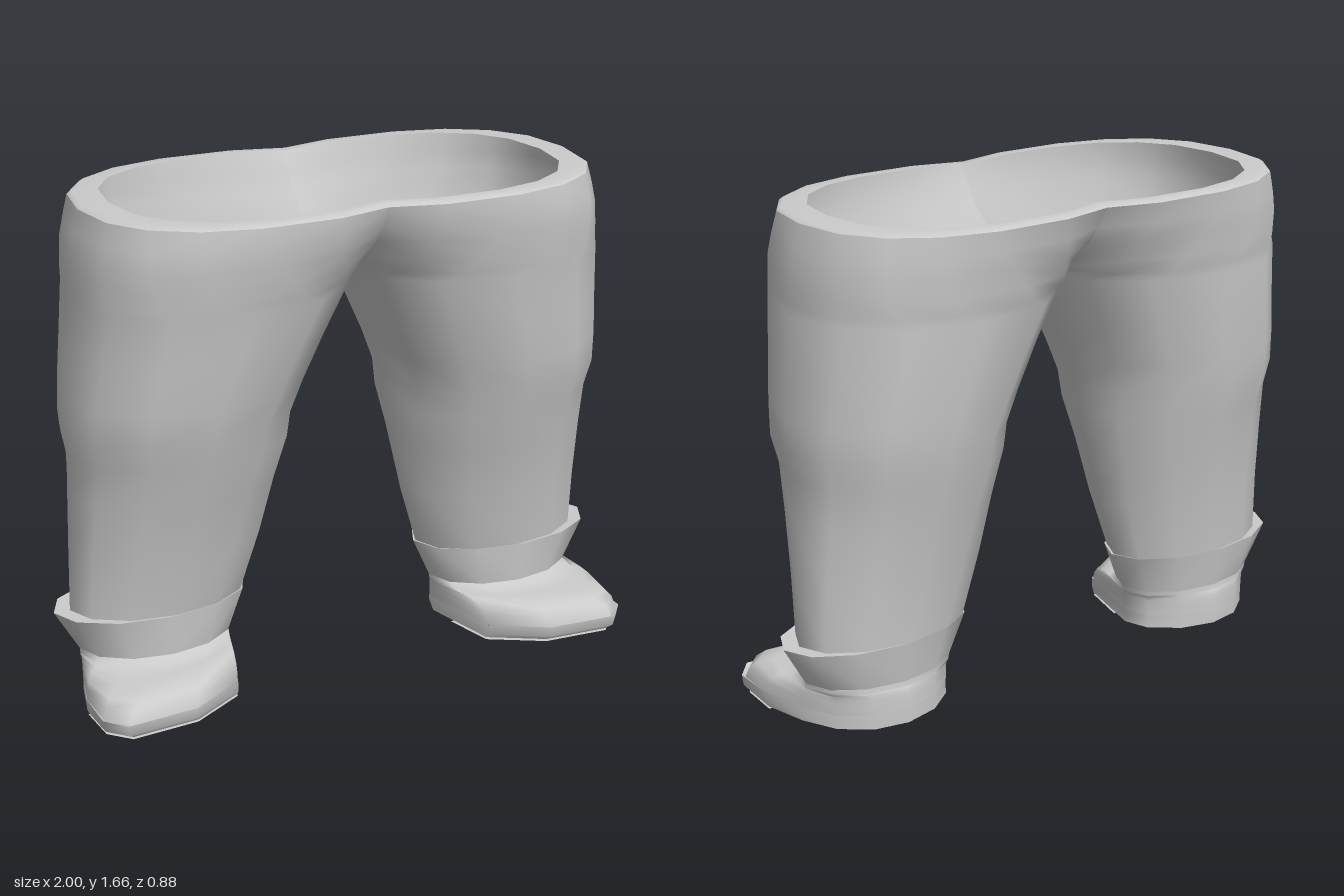
import * as THREE from 'three';
import { mergeVertices } from 'three/addons/utils/BufferGeometryUtils.js';

const SEG = 12;
const material = new THREE.MeshStandardMaterial({ color: 0xcccccc, side: THREE.DoubleSide });

// One cross-section: [y, inner x, outer x, front z, back z, squareness].
// Where the inner side would pass x = 0 the ring is left open, ending on that plane.
function ring([y, xi, xo, zf, zb, n]) {
  const cx = (xi + xo) / 2, hx = (xo - xi) / 2;
  const cz = (zf + zb) / 2, hz = (zf - zb) / 2;
  const bend = (v) => Math.sign(v) * Math.pow(Math.abs(v), 2 / n);
  const end = xi < 0 ? Math.acos(-Math.pow(cx / hx, n / 2)) : Math.PI;
  const points = [];
  for (let i = 0; i <= SEG; i++) {
    const t = end * (2 * i / SEG - 1);
    const s = Math.abs(Math.sin(t)) < 1e-9 ? 0 : Math.sin(t);
    points.push([cx + hx * bend(Math.cos(t)), y, cz + hz * bend(s)]);
  }
  return points;
}

// Ankle section and footprint (x, z), both running inner side, heel, outer side, toe
const ankle = ring([0.15, 0.388, 0.918, 0.148, -0.203, 2]);
const footprint = [
  [0.405, -0.02], [0.435, -0.11], [0.53, -0.185], [0.65, -0.217], [0.765, -0.195], [0.86, -0.12],
  [0.92, 0], [0.965, 0.16], [0.965, 0.315], [0.905, 0.388], [0.665, 0.372], [0.475, 0.265],
  [0.405, -0.02],
];

// Foot section at height y, blended from the ankle (0) to the full footprint (1)
function footRing(y, blend) {
  const mix = THREE.MathUtils.lerp;
  return footprint.map(([x, z], i) => [mix(ankle[i][0], x, blend), y, mix(ankle[i][2], z, blend)]);
}

// Skin through rings; rings running downward face outward.
function loft(name, rings) {
  const index = [], w = SEG + 1;
  for (let r = 0; r < rings.length - 1; r++) {
    for (let i = 0; i < SEG; i++) {
      const a = r * w + i, c = a + w;
      index.push(a, a + 1, c, a + 1, c + 1, c);
    }
  }
  let geometry = new THREE.BufferGeometry();
  geometry.setAttribute('position', new THREE.Float32BufferAttribute(rings.flat(2), 3));
  geometry.setIndex(index);
  geometry = mergeVertices(geometry, 1e-4);
  geometry.computeVertexNormals();
  const mesh = new THREE.Mesh(geometry, material);
  mesh.name = name;
  return mesh;
}

// Trouser sections from waist to hem, with the knee bulge near y = 0.94
const legRings = [
  [1.65, -0.24, 0.868, 0.443, -0.445, 2.4],
  [1.58, -0.165, 0.886, 0.441, -0.438, 2.4],
  [1.52, -0.11, 0.9, 0.431, -0.427, 2.4],
  [1.45, -0.052, 0.907, 0.419, -0.416, 2.35],
  [1.4, -0.018, 0.912, 0.41, -0.41, 2.3],
  [1.37, 0, 0.915, 0.405, -0.406, 2.3],
  [1.2, 0.08, 0.932, 0.376, -0.385, 2.2],
  [1.05, 0.147, 0.946, 0.351, -0.367, 2.15],
  [0.94, 0.185, 0.954, 0.325, -0.347, 2.1],
  [0.85, 0.19, 0.936, 0.299, -0.327, 2.05],
  [0.7, 0.227, 0.938, 0.252, -0.294, 2],
  [0.5, 0.27, 0.941, 0.193, -0.25, 2],
  [0.29, 0.335, 0.943, 0.15, -0.222, 2],
].map(ring);

function buildLeg(name) {
  const leg = new THREE.Group();
  leg.name = name;

  // Thin trouser leg with a flat rim turned in at the waist
  leg.add(loft('trouserLeg', legRings));
  leg.add(loft('waistRim', [
    ring([1.66, -0.2, 0.768, 0.395, -0.4, 2.4]),
    ring([1.66, -0.235, 0.853, 0.433, -0.435, 2.4]),
    legRings[0],
  ]));

  // Boot cuff, flared on the outer side, and the floor inside it
  const cuffTop = ring([0.292, 0.325, 0.999, 0.16, -0.228, 2]);
  leg.add(loft('cuffLedge', [legRings[legRings.length - 1], cuffTop]));
  leg.add(loft('bootCuff', [cuffTop, ankle]));
  leg.add(loft('innerFloor', [ring([0.15, 0.649, 0.651, -0.024, -0.026, 2]), ankle]));

  // Boot upper spreading forward into the toe
  leg.add(loft('bootUpper', [
    ankle,
    footRing(0.137, 0.12),
    footRing(0.127, 0.3),
    footRing(0.13, 0.56),
    footRing(0.112, 0.8),
    footRing(0.09, 0.9),
    footRing(0.055, 0.95),
  ]));

  // Sole rim, closed underneath the toe only
  leg.add(loft('soleLedge', [footRing(0.055, 0.95), footRing(0.06, 1)]));
  leg.add(loft('soleRim', [footRing(0.06, 1), footRing(0.025, 0.98), footRing(0.008, 0.91)]));
  const outline = footRing(0, 0.91)
    .filter((p) => p[2] > 0.07)
    .map((p) => new THREE.Vector2(p[0], p[2]));
  outline.push(new THREE.Vector2(0.425, 0.07));
  const sole = new THREE.Mesh(new THREE.ShapeGeometry(new THREE.Shape(outline)), material);
  sole.geometry.rotateX(Math.PI / 2);
  sole.name = 'toeSole';
  leg.add(sole);
  return leg;
}

export function createModel() {
  const model = new THREE.Group();
  model.name = 'trousersAndBoots';
  const left = buildLeg('leftLeg');
  const right = buildLeg('rightLeg');
  right.scale.x = -1;
  model.add(left, right);
  return model;
}
